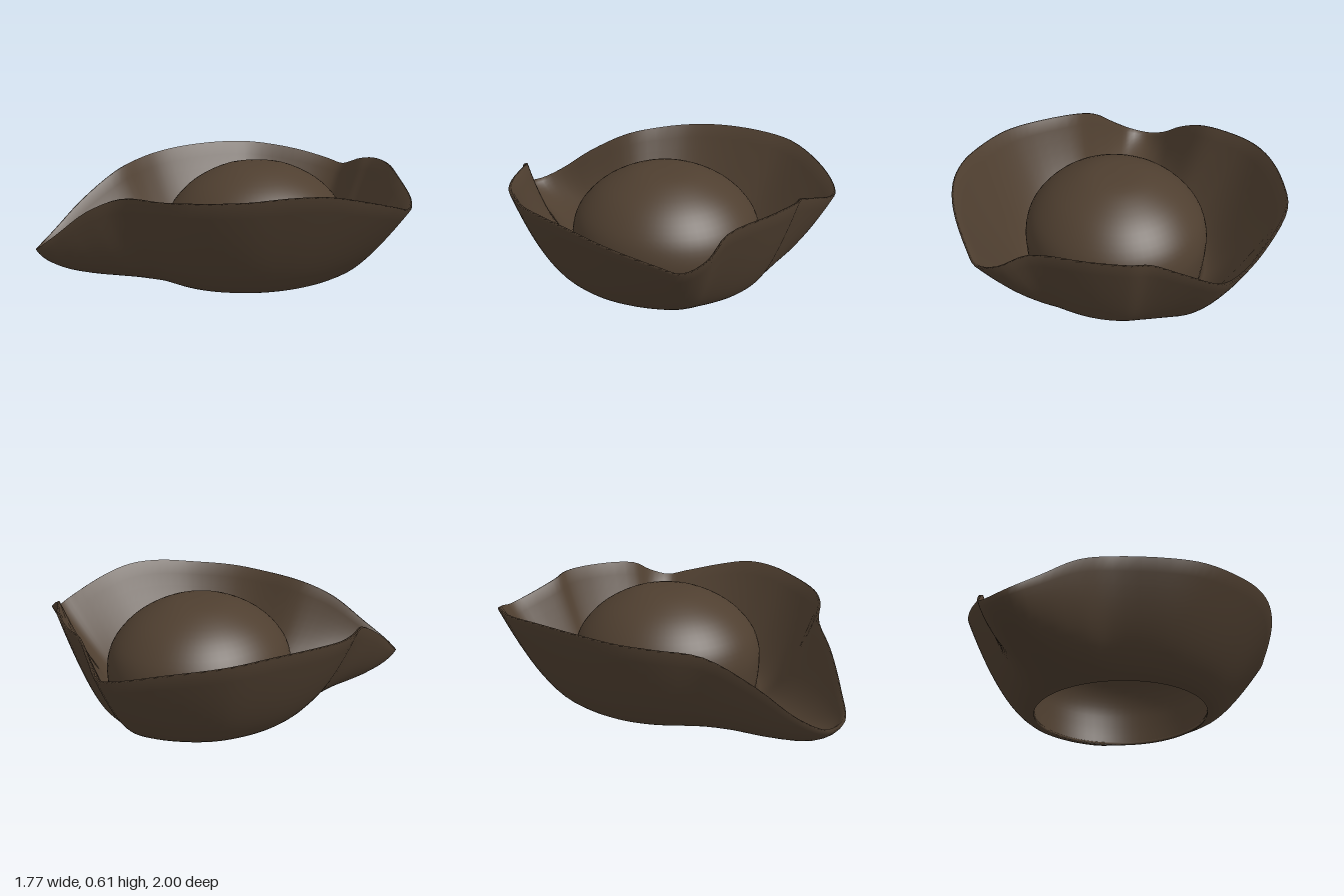
import * as THREE from 'three';

// Rim stations, counterclockwise from the front tip: x, y, z, and how far the flat base reaches outward
const RIM = [
  [-0.56, 0.19, 1.0, 0.88], [-0.42, 0.29, 0.955, 0.84], [-0.25, 0.43, 0.87, 0.75],
  [-0.08, 0.51, 0.78, 0.62], [0.22, 0.535, 0.735, 0.54], [0.4, 0.55, 0.67, 0.48],
  [0.6, 0.565, 0.52, 0.42], [0.74, 0.585, 0.35, 0.36], [0.83, 0.58, 0.18, 0.33],
  [0.875, 0.54, 0, 0.3], [0.88, 0.47, -0.26, 0.3], [0.865, 0.44, -0.38, 0.3],
  [0.79, 0.48, -0.48, 0.3], [0.65, 0.56, -0.55, 0.32], [0.42, 0.585, -0.735, 0.35],
  [0.24, 0.58, -0.83, 0.38], [0.13, 0.56, -0.845, 0.4], [-0.02, 0.51, -0.92, 0.42],
  [-0.17, 0.47, -0.995, 0.43], [-0.28, 0.49, -0.985, 0.43], [-0.48, 0.54, -0.88, 0.43],
  [-0.7, 0.58, -0.69, 0.43], [-0.8, 0.59, -0.48, 0.42], [-0.87, 0.58, -0.23, 0.42],
  [-0.885, 0.56, -0.03, 0.42], [-0.85, 0.54, 0.14, 0.45], [-0.77, 0.5, 0.36, 0.55],
  [-0.74, 0.37, 0.61, 0.7], [-0.715, 0.23, 0.81, 0.82], [-0.66, 0.17, 0.94, 0.87],
];
const CROWN_Z = -0.09, CROWN_DEPTH = 1.05;

// Upturned brim: a thin folded sheet swept from the crown opening to the rim
function brimGeometry() {
  const rim = new THREE.CatmullRomCurve3(
    RIM.map(([x, y, z]) => new THREE.Vector3(x, y, z)), true, 'centripetal');
  const around = 120, across = 14, ring = 2 * (across + 1);
  const pos = [], index = [];
  for (let i = 0; i < around; i++) {
    const s = (i / around) * RIM.length, k = Math.floor(s), w = s - k;
    const reach = THREE.MathUtils.lerp(RIM[k][3], RIM[(k + 1) % RIM.length][3], w);
    const r = rim.getPoint(i / around);
    const dir = new THREE.Vector3(r.x, 0, r.z - CROWN_Z).normalize();
    // The base sits slightly lower toward the front tip
    const base = 0.01 + 0.007 * (dir.x - dir.z);
    const start = new THREE.Vector3(dir.x * 0.485, base, CROWN_Z + dir.z * 0.485 * CROWN_DEPTH);
    const bend = start.clone().lerp(r, reach).setY(base);
    const section = new THREE.QuadraticBezierCurve3(start, bend, r);
    const under = [], over = [];
    for (let j = 0; j <= across; j++) {
      const t = j / across, p = section.getPoint(t), d = section.getTangent(t);
      // Offset upward and inward, square to the section, thicker in the fold than at the lip
      const out = d.dot(dir), h = 0.015 + 0.018 * Math.sin(Math.PI * t);
      under.push(p);
      over.unshift(new THREE.Vector3(p.x - dir.x * d.y * h, p.y + out * h, p.z - dir.z * d.y * h));
    }
    for (const p of [...under, ...over]) pos.push(p.x, p.y, p.z);
    const n = (i + 1) % around;
    for (let j = 0; j < ring; j++) {
      const m = (j + 1) % ring;
      const a = i * ring + j, b = n * ring + j, c = n * ring + m, d = i * ring + m;
      index.push(a, b, c, a, c, d);
    }
  }
  const g = new THREE.BufferGeometry();
  g.setAttribute('position', new THREE.Float32BufferAttribute(pos, 3));
  g.setIndex(index);
  g.computeVertexNormals();
  return g;
}

// Domed crown, open underneath
function crownGeometry() {
  const profile = new THREE.SplineCurve([
    [0.485, 0.015], [0.5, 0.14], [0.5, 0.27], [0.455, 0.39],
    [0.34, 0.51], [0.17, 0.595], [0, 0.612],
  ].map(([x, y]) => new THREE.Vector2(x, y)));
  const points = profile.getPoints(24);
  points[24].x = 0;
  return new THREE.LatheGeometry(points, 64);
}

export function createModel() {
  const felt = new THREE.MeshStandardMaterial({ color: 0x4f3f30, side: THREE.DoubleSide });
  felt.name = 'brown felt';

  const hat = new THREE.Group();
  hat.name = 'threeCorneredHat';

  const brim = new THREE.Mesh(brimGeometry(), felt);
  brim.name = 'brim';

  const crown = new THREE.Mesh(crownGeometry(), felt);
  crown.name = 'crown';
  crown.position.z = CROWN_Z;
  crown.scale.z = CROWN_DEPTH;

  hat.add(brim, crown);
  return hat;
}
